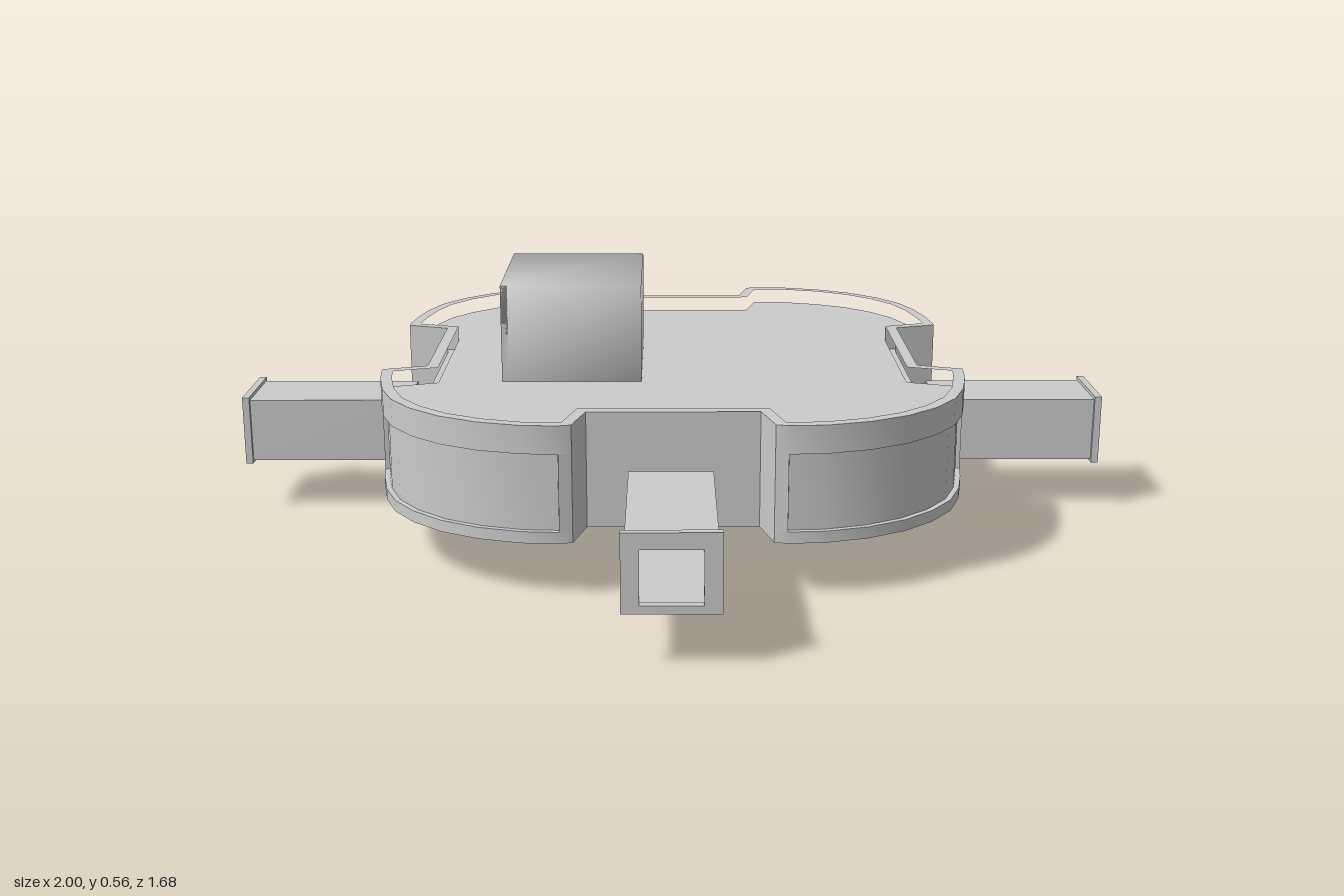
import * as THREE from 'three';
import { toCreasedNormals, mergeVertices } from 'three/addons/utils/BufferGeometryUtils.js';

const CZ = -0.1775; // centre of the main building along z

export function createModel() {
  const model = new THREE.Group();
  const mat = new THREE.MeshStandardMaterial({ color: 0xcccccc });
  const thin = new THREE.MeshStandardMaterial({ color: 0xcccccc, side: THREE.DoubleSide });

  const add = (parent, name, geo, material = mat) => {
    const mesh = new THREE.Mesh(geo, material);
    mesh.name = name;
    parent.add(mesh);
    return mesh;
  };
  const box = (x0, x1, y0, y1, z0, z1) =>
    new THREE.BoxGeometry(x1 - x0, y1 - y0, z1 - z0).translate((x0 + x1) / 2, (y0 + y1) / 2, (z0 + z1) / 2);
  const rect = (x0, x1, y0, y1) => [[x0, y0], [x1, y0], [x1, y1], [x0, y1]];
  const extrude = (pts, hole, depth) => {
    const vec = (list) => list.map(([x, y]) => new THREE.Vector2(x, y));
    const shape = new THREE.Shape(vec(pts));
    if (hole) shape.holes.push(new THREE.Path(vec(hole)));
    return new THREE.ExtrudeGeometry(shape, { depth, bevelEnabled: false });
  };
  // plan drawn in x/z, raised from y0 to y1
  const slab = (pts, hole, y0, y1) =>
    toCreasedNormals(extrude(pts, hole, y1 - y0).rotateX(Math.PI / 2).translate(0, y1, CZ), 0.5);

  // mitred inward offset of a clockwise outline
  const inset = (pts, d) => pts.map((p, i) => {
    const normal = (a, b) => {
      const dx = b[0] - a[0], dy = b[1] - a[1], l = Math.hypot(dx, dy);
      return [dy / l, -dx / l];
    };
    const n = pts.length;
    const a = normal(pts[(i + n - 1) % n], p), b = normal(p, pts[(i + 1) % n]);
    const k = d / (1 + a[0] * b[0] + a[1] * b[1]);
    return [p[0] + (a[0] + b[0]) * k, p[1] + (a[1] + b[1]) * k];
  });
  // mirror one corner lobe into all four quadrants
  const fourfold = (q) => [[1, 1], [1, -1], [-1, -1], [-1, 1]].flatMap(([sx, sz]) => {
    const m = q.map(([x, z]) => [x * sx, z * sz]);
    return sx * sz > 0 ? m : m.reverse();
  });

  // corner lobe: notch, post, rounded bay, post, notch
  const arc = [[0.232, 0.667], [0.31, 0.662], [0.40, 0.636], [0.48, 0.593], [0.545, 0.535],
    [0.595, 0.465], [0.625, 0.385], [0.642, 0.30], [0.649, 0.245]];
  const start = [[0.18, 0.565], [0.205, 0.66]], end = [[0.65, 0.216], [0.553, 0.184]];
  const lobe = [...start, ...arc, ...end];
  const recessed = inset(lobe, 0.012).slice(2, 2 + arc.length);
  const outline = fourfold(lobe);
  const panelOutline = fourfold([...start, arc[0], ...recessed, arc[arc.length - 1], ...end]);
  const inner = inset(outline, 0.025);

  // main building
  const building = new THREE.Group();
  building.name = 'building';
  model.add(building);
  const hatch = rect(-0.37, -0.12, -0.36 - CZ, 0 - CZ);
  add(building, 'floor', slab(outline, hatch, 0.13, 0.155));
  add(building, 'recessedWalls', slab(panelOutline, inner, 0.155, 0.32));
  add(building, 'parapet', slab(outline, inner, 0.32, 0.38));
  add(building, 'roofDeck', slab(inner, null, 0.32, 0.345));
  add(building, 'hatchCover', box(-0.09, 0.2, 0.124, 0.131, -0.37, 0.0));

  // rooftop hut: softly shaded shell plus a flat wall with a doorway
  const hut = new THREE.Group();
  hut.name = 'rooftopHut';
  model.add(hut);
  const [x0, x1, y0, y1, z0, z1] = [-0.385, -0.07, 0.343, 0.565, -0.37, 0.015];
  let shell = box(x0, x1, y0, y1, z0, z1);
  const idx = Array.from(shell.index.array);
  // keep +x, top, front and back
  shell.setIndex([0, 2, 4, 5].flatMap((f) => idx.slice(f * 6, f * 6 + 6)));
  shell.deleteAttribute('normal');
  shell.deleteAttribute('uv');
  shell = mergeVertices(shell);
  shell.computeVertexNormals();
  add(hut, 'hutShell', shell, thin);
  const doorWall = [[z0, y0], [-0.345, y0], [-0.345, 0.465], [-0.265, 0.465], [-0.265, y0], [z1, y0], [z1, y1], [z0, y1]];
  add(hut, 'hutDoorWall', extrude(doorWall, null, 0.015).rotateY(-Math.PI / 2).translate(x0 + 0.015, 0, 0));

  // boarding stairs folding down through the hatch
  const stairs = new THREE.Group();
  stairs.name = 'boardingStairs';
  model.add(stairs);
  const side = new THREE.Shape([[-0.37, 0.13], [-0.19, 0.01], [-0.19, 0.13]].map((p) => new THREE.Vector2(...p)));
  for (const z of [-0.35, -0.19]) {
    add(stairs, 'stairSide', new THREE.ShapeGeometry(side).translate(0, 0, z), thin);
    add(stairs, 'stairPost', box(-0.34, -0.325, 0.1, 0.14, z - 0.004, z + 0.004));
  }
  const steps = 10, run = 0.18 / steps, rise = 0.118 / steps;
  for (let i = 0; i < steps; i++) {
    const x = -0.37 + i * run, y = 0.13 - i * rise;
    add(stairs, 'stepRiser', new THREE.PlaneGeometry(0.16, rise).rotateY(-Math.PI / 2).translate(x, y - rise / 2, -0.27));
    add(stairs, 'stepTread', new THREE.PlaneGeometry(run, 0.16).rotateX(Math.PI / 2).translate(x + run / 2, y - rise, -0.27));
  }

  // three docking tunnels, each built along +z
  const tunnel = (name, x, z, angle) => {
    const g = new THREE.Group();
    g.name = name;
    g.position.set(x, 0, z);
    g.rotation.y = angle;
    add(g, 'neck', box(-0.063, 0.063, 0.132, 0.25, -0.02, 0.07));
    add(g, 'tube', extrude(rect(-0.087, 0.087, 0.126, 0.272), rect(-0.066, 0.066, 0.136, 0.25), 0.375).translate(0, 0, 0.062));
    add(g, 'endFlange', extrude(rect(-0.095, 0.095, 0.12, 0.28), rect(-0.06, 0.06, 0.137, 0.247), 0.016).translate(0, 0, 0.431));
    model.add(g);
  };
  tunnel('leftTunnel', 0.553, CZ, Math.PI / 2);
  tunnel('rightTunnel', -0.553, CZ, -Math.PI / 2);
  tunnel('frontTunnel', -0.005, 0.39, 0);

  return model;
}
